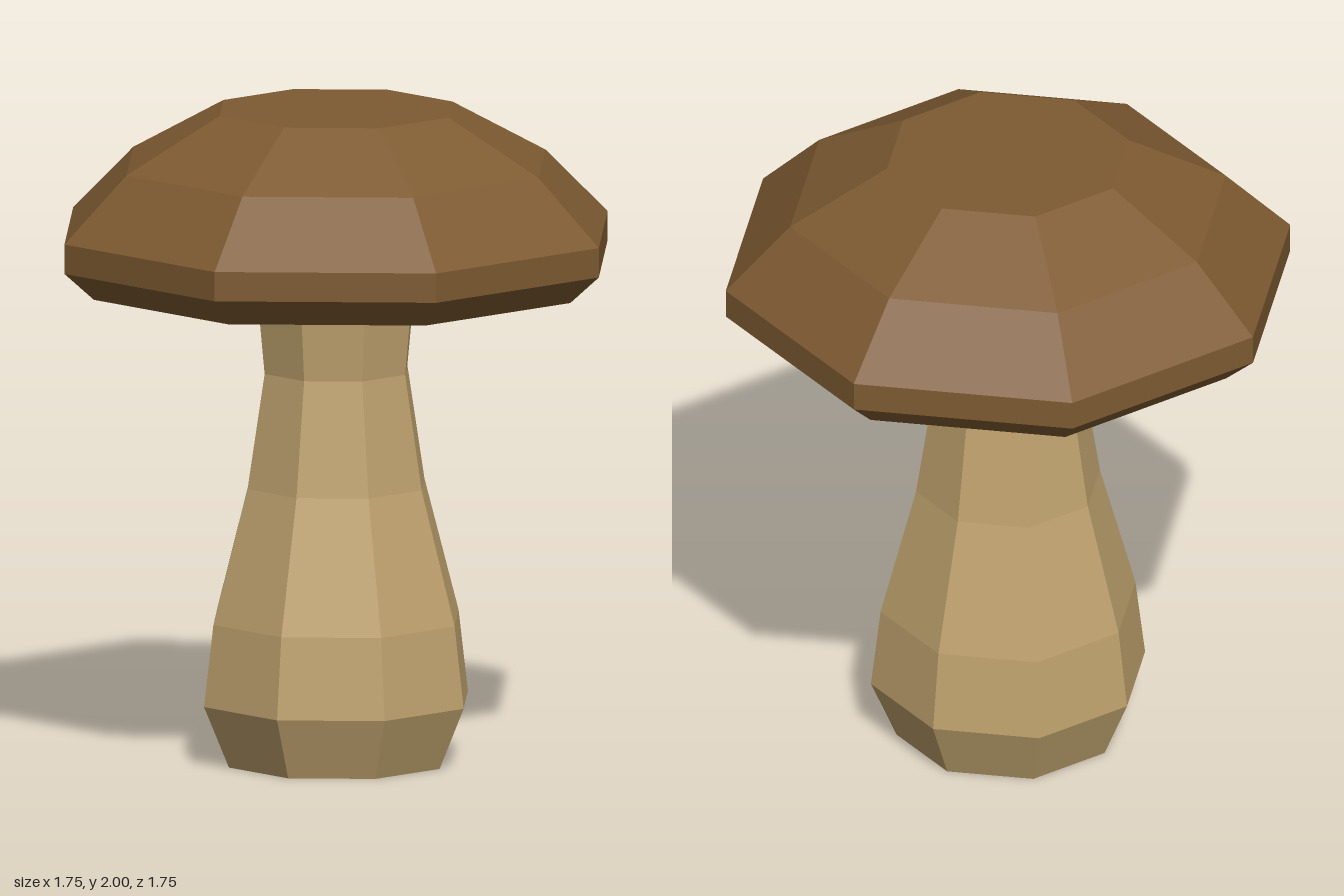
import * as THREE from 'three';

const SIDES = 8;

// Eight-sided turned part with one flat normal per facet; profile runs [radius, y]
function facetedLathe(name, profile, material) {
  const points = profile.map(([r, y]) => new THREE.Vector2(r, y));
  const geometry = new THREE.LatheGeometry(points, SIDES).toNonIndexed();
  geometry.computeVertexNormals();
  const mesh = new THREE.Mesh(geometry, material);
  mesh.name = name;
  return mesh;
}

export function createModel() {
  const capBrown = new THREE.MeshStandardMaterial({ color: 0x7e5b32 });
  capBrown.name = 'cap brown';
  const stemTan = new THREE.MeshStandardMaterial({ color: 0xbfa26e });
  stemTan.name = 'stem tan';

  const group = new THREE.Group();
  group.name = 'mushroom';

  // Bulbous stem, reaching up into the hollow of the cap
  group.add(facetedLathe('stem', [
    [0, 0], [0.345, 0], [0.425, 0.19], [0.395, 0.44],
    [0.285, 0.85], [0.23, 1.2], [0.255, 1.46], [0.27, 1.62],
  ], stemTan));

  // Hollow underside of the cap
  group.add(facetedLathe('capUnderside', [[0, 1.67], [0.78, 1.46]], stemTan));

  // Cap with bevelled rim and flat crown
  group.add(facetedLathe('cap', [
    [0.78, 1.46], [0.875, 1.545], [0.875, 1.635],
    [0.675, 1.835], [0.375, 2], [0, 2],
  ], capBrown));

  return group;
}
